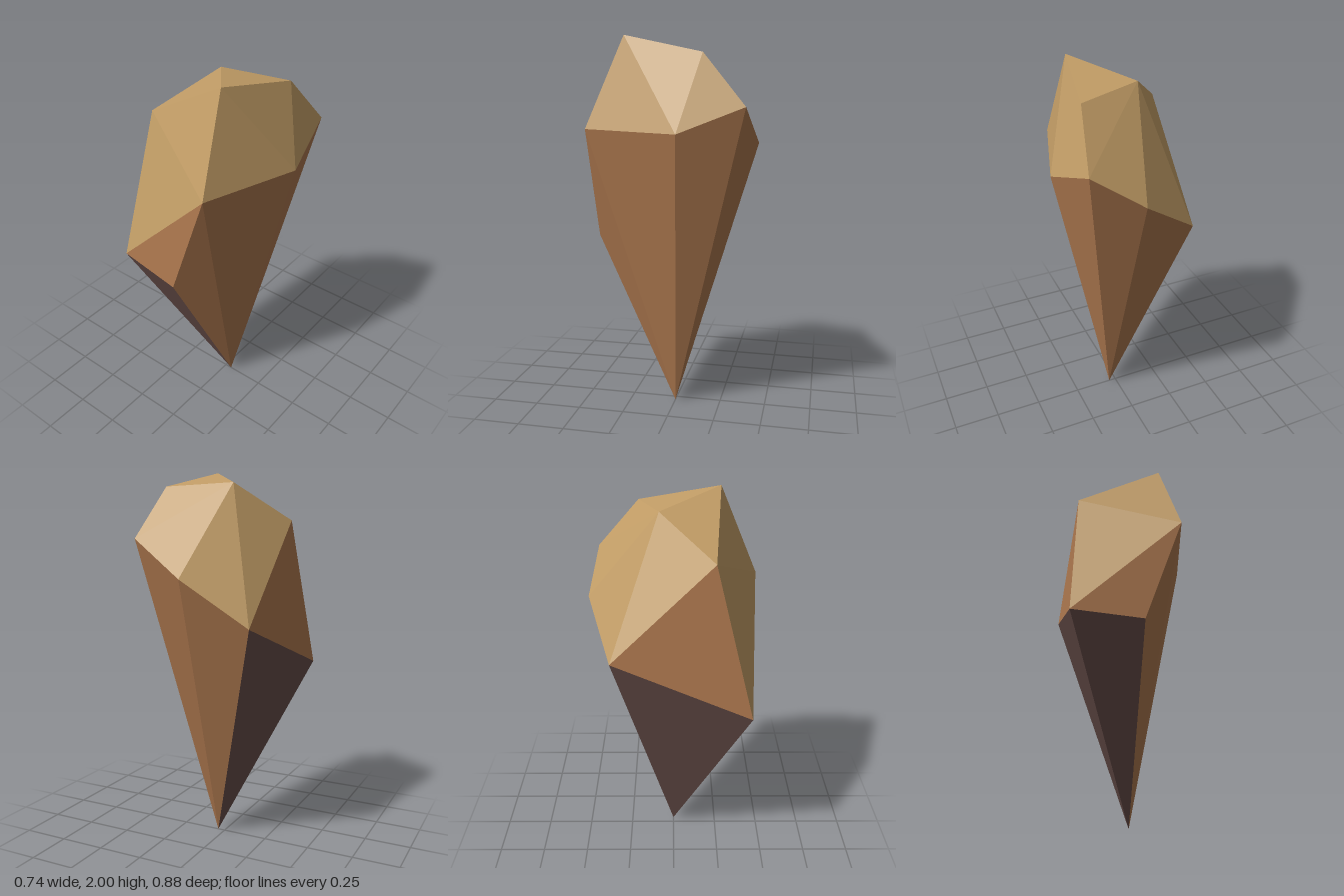
import * as THREE from 'three';

// Corners of the faceted shard
const P = {
  tip: [0.04, 0, 0],
  // low front edge and the ring around the widest part
  K: [0, 0.93, 0.44], F: [-0.37, 0.95, 0.40], A: [-0.29, 1.22, -0.32],
  B: [0.03, 1.46, -0.44], C: [0.30, 1.65, -0.40], D: [0.37, 1.52, -0.07], E: [0.21, 1.53, 0.44],
  // crown corners
  G: [-0.30, 1.74, 0.20], H: [0.16, 2, 0.24], I: [-0.085, 1.93, -0.07], J: [0.245, 1.91, -0.18],
};
const CENTRE = new THREE.Vector3(0, 1.2, 0);

// Flat triangles from corner names, each turned to face outward
function facets(name, list, material) {
  const positions = [];
  for (const corners of list) {
    const [a, b, c] = corners.map((k) => new THREE.Vector3(...P[k]));
    const normal = b.clone().sub(a).cross(c.clone().sub(a));
    const outward = normal.dot(a.clone().sub(CENTRE)) > 0;
    for (const v of outward ? [a, b, c] : [a, c, b]) positions.push(v.x, v.y, v.z);
  }
  const geometry = new THREE.BufferGeometry();
  geometry.setAttribute('position', new THREE.Float32BufferAttribute(positions, 3));
  geometry.computeVertexNormals();
  const mesh = new THREE.Mesh(geometry, material);
  mesh.name = name;
  return mesh;
}

function paint(name, color) {
  const material = new THREE.MeshStandardMaterial({ color });
  material.name = name;
  return material;
}

export function createModel() {
  const group = new THREE.Group();
  group.name = 'shard';
  const tan = paint('tan', 0xc29d66);
  const brown = paint('brown', 0xb07a50);
  const dark = paint('darkBrown', 0x6a504b);

  // Pale crown: top, back slope, right side, front slope
  group.add(facets('crown', [
    ['I', 'J', 'H'], ['I', 'H', 'G'],
    ['I', 'J', 'C'], ['I', 'C', 'B'], ['I', 'B', 'A'], ['I', 'A', 'G'],
    ['H', 'E', 'D'], ['H', 'D', 'J'], ['J', 'D', 'C'],
    ['G', 'F', 'E'], ['G', 'E', 'H'],
  ], tan));

  // Brown sides tapering to the tip
  const ring = ['K', 'E', 'D', 'C', 'B', 'A'];
  const sides = ring.slice(1).map((k, i) => [ring[i], k, 'tip']);
  group.add(facets('sides', [...sides, ['G', 'F', 'A'], ['F', 'K', 'E']], brown));

  // Dark underside facets
  group.add(facets('underside', [['A', 'F', 'tip'], ['F', 'K', 'tip']], dark));
  return group;
}
